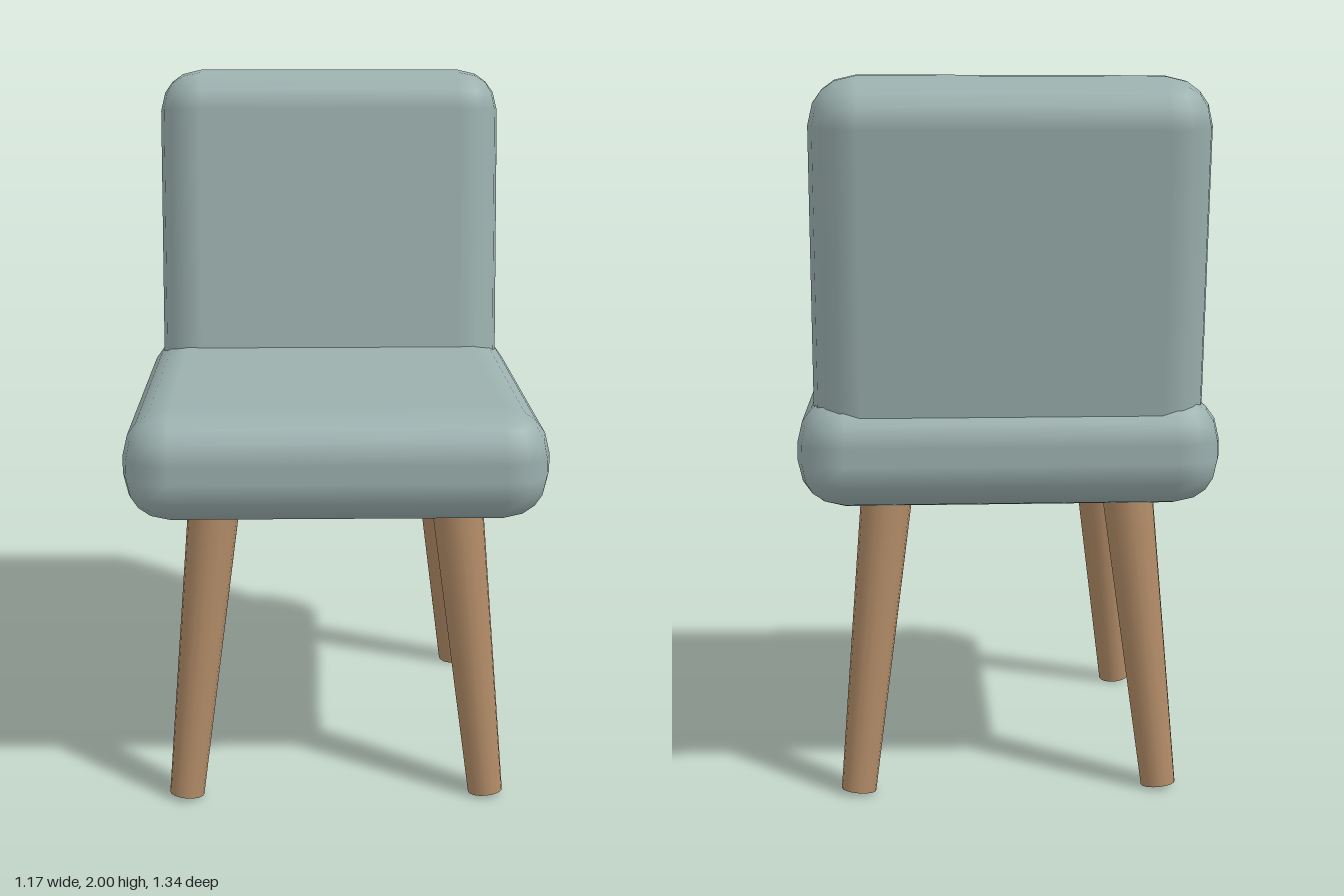
import * as THREE from 'three';
import { RoundedBoxGeometry } from 'three/addons/geometries/RoundedBoxGeometry.js';

export function createModel() {
  const chair = new THREE.Group();
  chair.name = 'chair';

  const fabric = new THREE.MeshStandardMaterial({ color: 0x9bb0ae });
  fabric.name = 'sage fabric';
  const wood = new THREE.MeshStandardMaterial({ color: 0xb08a66 });
  wood.name = 'light wood';

  // Padded cushions with soft, slightly faceted edges
  const addCushion = (name, w, h, d, y, z, tilt = 0) => {
    const mesh = new THREE.Mesh(new RoundedBoxGeometry(w, h, d, 2, 0.13), fabric);
    mesh.name = name;
    mesh.position.set(0, y, z);
    mesh.rotation.x = tilt;
    chair.add(mesh);
  };
  addCushion('seat', 1.17, 0.31, 1.275, 0.985, 0.033);
  addCushion('backrest', 1.08, 1.08, 0.298, 1.463, -0.471, -0.122);

  // Tapered legs, splayed outward from the seat to the floor
  const up = new THREE.Vector3(0, 1, 0);
  const addLeg = (name, top, foot) => {
    const axis = top.clone().sub(foot);
    const mesh = new THREE.Mesh(new THREE.CylinderGeometry(0.072, 0.049, axis.length(), 16), wood);
    mesh.name = name;
    mesh.position.copy(top).add(foot).multiplyScalar(0.5);
    mesh.quaternion.setFromUnitVectors(up, axis.normalize());
    chair.add(mesh);
  };
  for (const [side, s] of [['Left', 1], ['Right', -1]]) {
    addLeg(`front${side}Leg`, new THREE.Vector3(s * 0.343, 0.833, 0.457), new THREE.Vector3(s * 0.428, 0.008, 0.545));
    addLeg(`back${side}Leg`, new THREE.Vector3(s * 0.343, 0.833, -0.386), new THREE.Vector3(s * 0.428, 0.008, -0.472));
  }

  return chair;
}
